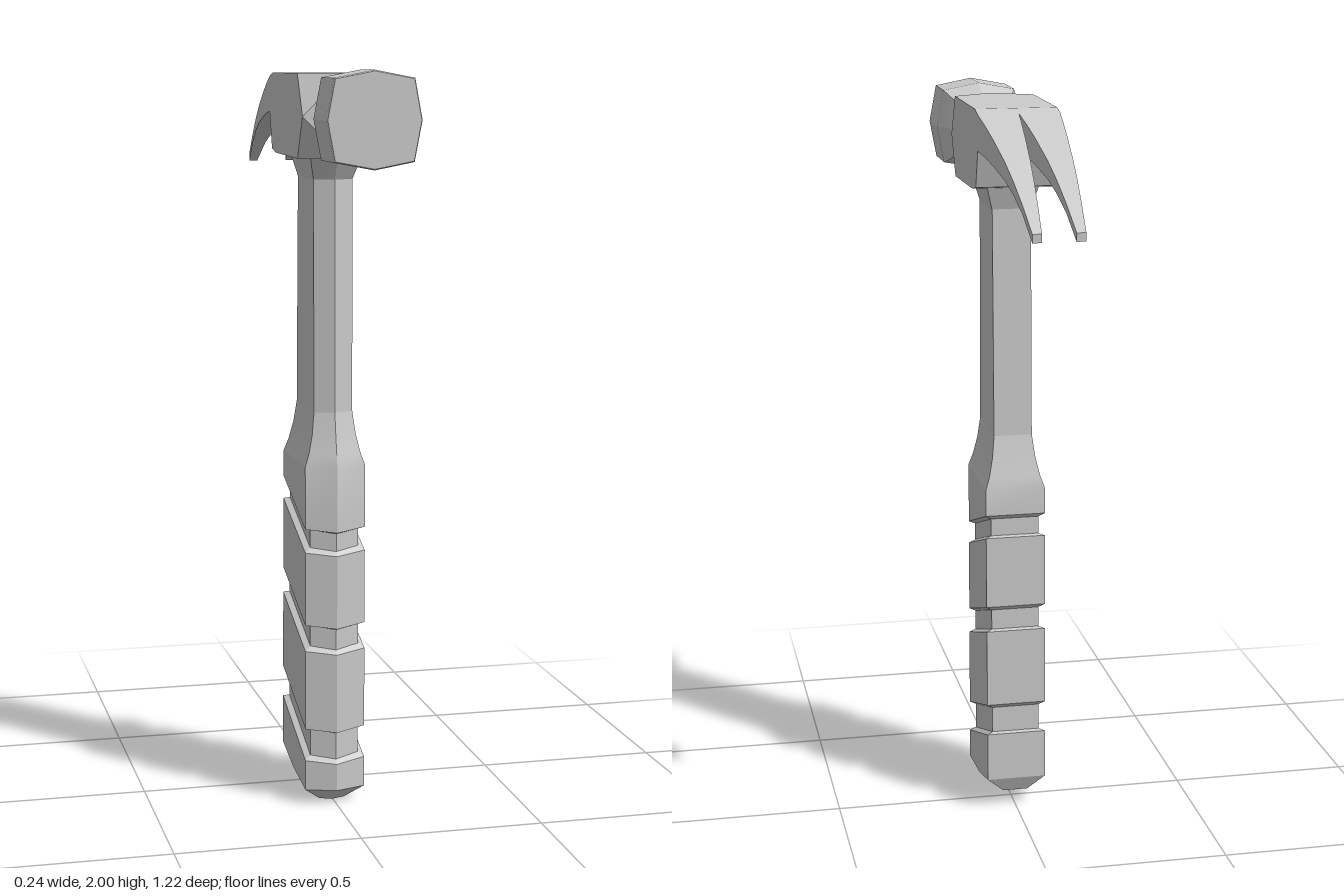
import * as THREE from 'three';
import { toCreasedNormals } from 'three/addons/utils/BufferGeometryUtils.js';
import { ConvexGeometry } from 'three/addons/geometries/ConvexGeometry.js';

// Skins a list of equal-length rings of [x, y, z] points and caps both ends
function loft(rings) {
  const n = rings[0].length;
  const pos = rings.flat(2);
  const index = [];
  for (let i = 0; i < rings.length - 1; i++) {
    for (let j = 0; j < n; j++) {
      const a = i * n + j, b = i * n + (j + 1) % n;
      index.push(a, b, b + n, a, b + n, a + n);
    }
  }
  const top = (rings.length - 1) * n;
  for (let j = 1; j < n - 1; j++) {
    index.push(0, j + 1, j, top, top + j, top + j + 1);
  }
  const geo = new THREE.BufferGeometry();
  geo.setAttribute('position', new THREE.Float32BufferAttribute(pos, 3));
  geo.setIndex(index);
  return toCreasedNormals(geo, 0.3);
}

// Handle section: pointed front, flat sides and back; height(z) tilts or bends the ring
function section(halfX, front, back, nose, height) {
  const half = [[halfX, front - nose], [halfX, 0.05], [halfX, back]];
  const outline = [[0, front], ...half, ...half.map(([x, z]) => [-x, z]).reverse()];
  return outline.map(([x, z]) => [x, height(z), z]);
}
const level = (y) => () => y;

// Octagonal ring with slightly bowed sides, at height h
function octagon(r, h) {
  const d = r * 0.84;
  return [[0, r], [d, d], [r, 0], [d, -d], [0, -r], [-d, -d], [-r, 0], [-d, d]].map(([x, z]) => [x, h, z]);
}

export function createModel() {
  const group = new THREE.Group();
  const material = new THREE.MeshStandardMaterial({ color: 0xcccccc });
  const add = (name, geometry) => {
    const mesh = new THREE.Mesh(geometry, material);
    mesh.name = name;
    group.add(mesh);
    return mesh;
  };

  // Grip: bevelled butt, three slanted grooves, flared neck
  const grip = [
    section(0.035, 0.18, -0.065, 0.012, (z) => 0.045 * ((0.18 - z) / 0.245) ** 2),
    section(0.083, 0.23, -0.085, 0.025, (z) => 0.04 + 0.05 * ((0.23 - z) / 0.315) ** 2),
  ];
  for (const [low, high] of [[0.115, 0.205], [0.425, 0.498], [0.70, 0.765]]) {
    for (const [y, cut] of [[low, 0], [low + 0.008, 1], [high - 0.008, 1], [high, 0]]) {
      const back = -0.065 - 0.02 * (0.85 - y) / 0.85;
      grip.push(section(0.083 - 0.016 * cut, 0.23 - 0.011 * cut, back + 0.011 * cut, 0.025,
        (z) => y + 0.36 * (0.23 - z)));
    }
  }
  grip.push(
    section(0.083, 0.23, -0.065, 0.025, level(0.945)),
    section(0.071, 0.222, -0.056, 0.023, level(0.98)),
    section(0.060, 0.211, -0.043, 0.021, level(1.03)),
    section(0.053, 0.2, -0.03, 0.02, level(1.09)),
  );
  add('grip', loft(grip));

  // Shaft and the collar below the head
  add('shaft', loft([
    section(0.053, 0.2, -0.03, 0.02, level(1.09)),
    section(0.053, 0.195, -0.01, 0.02, level(1.74)),
  ]));
  add('collar', loft([
    section(0.053, 0.195, -0.01, 0.02, level(1.712)),
    section(0.07, 0.235, -0.03, 0.025, level(1.775)),
  ]));

  // Head block: diamond front face with the four corners cut off
  const points = [[0, 1.99, 0.295], [0, 1.77, 0.295]];
  for (const x of [-0.11, 0.11]) {
    points.push([x, 1.88, 0.295], [x, 1.99, 0.235], [x, 1.77, 0.235], [x, 1.99, -0.07],
      [x, 1.98, -0.11], [x, 1.885, -0.11], [x, 1.785, -0.08], [x, 1.775, -0.03]);
  }
  add('headBlock', new ConvexGeometry(points.map((p) => new THREE.Vector3(...p))));

  // Claws: stations of z, top y, bottom y; the gap widens toward the tips
  const stations = [
    [-0.11, 1.98, 1.885], [-0.18, 1.96, 1.878], [-0.255, 1.935, 1.867], [-0.365, 1.892, 1.845],
    [-0.44, 1.855, 1.821], [-0.52, 1.808, 1.785], [-0.605, 1.75, 1.728],
  ];
  for (const side of [1, -1]) {
    const claw = stations.map(([z, top, bottom]) => {
      const t = (-0.11 - z) / 0.495;
      const [x0, x1] = [side * 0.043 * t, side * (0.11 - 0.043 * t)].sort((a, b) => a - b);
      return [[x0, top, z], [x1, top, z], [x1, bottom, z], [x0, bottom, z]];
    });
    add(side > 0 ? 'leftClaw' : 'rightClaw', loft(claw));
  }

  // Striking face: neck, flare and octagonal poll along z
  const poll = loft([
    [0.067, 0.28], [0.067, 0.385], [0.09, 0.418], [0.112, 0.447], [0.122, 0.47], [0.122, 0.605], [0.119, 0.61],
  ].map(([r, h]) => octagon(r, h)));
  poll.rotateX(Math.PI / 2);
  add('strikingFace', poll).position.y = 1.878;

  return group;
}
